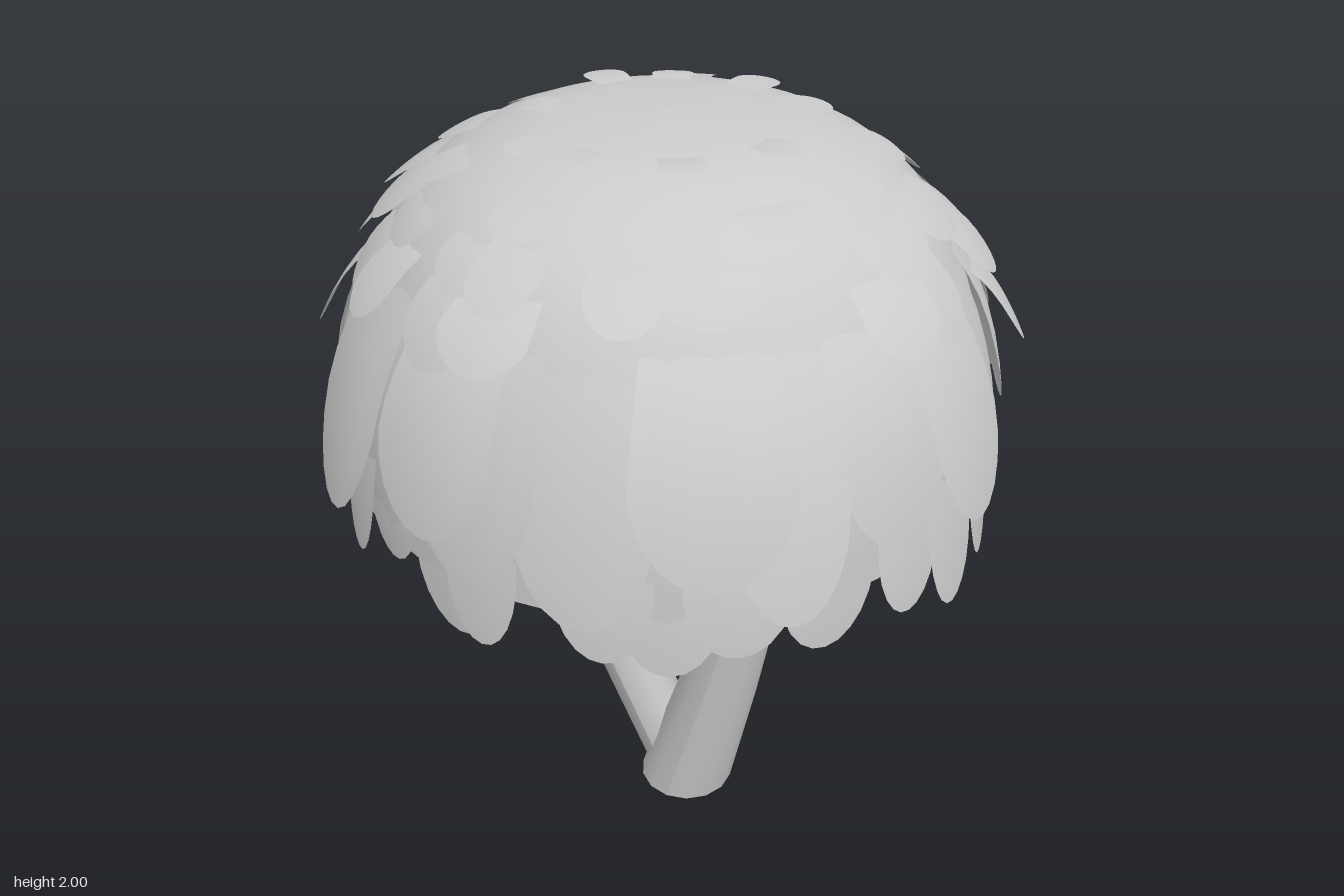
import * as THREE from 'three';
import { mergeGeometries } from 'three/addons/utils/BufferGeometryUtils.js';

// Small seeded generator, so the foliage is always the same
function seeded(seed) {
  return () => {
    seed = (seed * 16807) % 2147483647;
    return seed / 2147483647;
  };
}

// One rounded leaf hugging the crown: it follows a curve in (radius, height)
// at azimuth a, a = 0 facing the front
function leafGeometry(a, curve, halfWidth) {
  const geo = new THREE.PlaneGeometry(2, 1, 6, 9);
  const pos = geo.attributes.position;
  for (let i = 0; i < pos.count; i++) {
    const u = pos.getX(i);
    const v = Math.min(1, Math.max(0, 0.5 - pos.getY(i)));
    const t = Math.sin(v * Math.PI / 2); // rows gather at the rounded tip
    const tip = Math.max(0, (t - 0.6) / 0.4);
    const w = halfWidth * (0.75 + 0.25 * Math.min(1, t / 0.6)) * Math.sqrt(Math.max(0, 1 - tip * tip));
    const p = curve.getPoint(t);
    const angle = a + u * w / p.x;
    pos.setXYZ(i, p.x * Math.sin(angle), p.y, p.x * Math.cos(angle));
  }
  geo.computeVertexNormals();
  return geo;
}

// A ring of leaves running from (r0, y0) over (rm, ym) to (r1, y1)
function leafRing(name, material, o) {
  const rand = seeded(o.seed);
  const jitter = (s) => (rand() - 0.5) * 2 * s;
  const leaves = [];
  for (let i = 0; i < o.count; i++) {
    const a = ((i + jitter(0.3)) / o.count) * Math.PI * 2;
    const dr = jitter(o.dr), dy = jitter(o.dy), hw = o.hw * (1 + jitter(0.18));
    if (o.bare && Math.cos(a - o.bare[0]) > o.bare[1]) continue;
    const curve = new THREE.QuadraticBezierCurve(
      new THREE.Vector2(o.from[0], o.from[1]),
      new THREE.Vector2(o.mid[0] + dr / 2, o.mid[1] + dy / 2),
      new THREE.Vector2(o.to[0] + dr, o.to[1] + dy));
    leaves.push(leafGeometry(a, curve, hw));
  }
  const mesh = new THREE.Mesh(mergeGeometries(leaves), material);
  mesh.name = name;
  return mesh;
}

// Bent, tapering stem through rings of [x, y, z, radius]
function stem(name, material, rings) {
  const n = rings.length - 1;
  const geo = new THREE.CylinderGeometry(1, 1, 1, 14, n);
  const pos = geo.attributes.position;
  for (let i = 0; i < pos.count; i++) {
    const [x, y, z, r] = rings[Math.round((pos.getY(i) + 0.5) * n)];
    pos.setXYZ(i, x + pos.getX(i) * r, y, z + pos.getZ(i) * r);
  }
  geo.computeVertexNormals();
  const mesh = new THREE.Mesh(geo, material);
  mesh.name = name;
  return mesh;
}

export function createModel() {
  const group = new THREE.Group();
  group.name = 'tree';
  const bark = new THREE.MeshStandardMaterial({ color: 0xcccccc });
  const foliage = new THREE.MeshStandardMaterial({ color: 0xcccccc, side: THREE.DoubleSide });

  // Forked trunk
  group.add(
    stem('leftTrunk', bark, [
      [0.03, 0, -0.07, 0.13], [0.145, 0.4, -0.02, 0.108],
      [0.26, 0.82, 0.035, 0.082], [0.335, 1.32, 0.075, 0.075]]),
    stem('rightTrunk', bark, [
      [-0.01, 0, -0.1, 0.085], [-0.09, 0.28, -0.055, 0.09],
      [-0.25, 0.7, -0.01, 0.085], [-0.325, 1.08, 0.04, 0.08], [-0.36, 1.3, 0.06, 0.075]]));

  // Hollow crown, open below
  const profile = new THREE.SplineCurve([
    [0.755, 1.18], [0.75, 1.35], [0.715, 1.55], [0.64, 1.73], [0.55, 1.85],
    [0.43, 1.93], [0.28, 1.98], [0.12, 1.995], [0.001, 2],
  ].map(([x, y]) => new THREE.Vector2(x, y)));
  const crown = new THREE.Mesh(new THREE.LatheGeometry(profile.getPoints(28), 40), foliage);
  crown.name = 'crown';
  group.add(crown);

  // Leaf rings from the hanging fringe up to the small leaves on top;
  // bare = [azimuth, cosine] leaves a sector empty
  const rings = {
    innerFringe: { seed: 11, count: 26, hw: 0.11, dr: 0.04, dy: 0.06,
      from: [0.7, 1.5], mid: [0.77, 1.3], to: [0.775, 1.07] },
    outerSkirt: { seed: 23, count: 22, hw: 0.15, dr: 0.025, dy: 0.08,
      from: [0.63, 1.74], mid: [0.78, 1.56], to: [0.82, 1.24] },
    sideLeaves: { seed: 37, count: 22, hw: 0.09, dr: 0.02, dy: 0.06,
      from: [0.69, 1.66], mid: [0.76, 1.6], to: [0.82, 1.45], bare: [0.5, 0.25] },
    lowerLeaves: { seed: 41, count: 20, hw: 0.1, dr: 0.03, dy: 0.03,
      from: [0.57, 1.81], mid: [0.67, 1.76], to: [0.74, 1.65], bare: [0.6, 0.85] },
    middleLeaves: { seed: 59, count: 18, hw: 0.1, dr: 0.03, dy: 0.02,
      from: [0.47, 1.89], mid: [0.57, 1.86], to: [0.645, 1.77] },
    upperLeaves: { seed: 67, count: 13, hw: 0.08, dr: 0.03, dy: 0.015,
      from: [0.37, 1.94], mid: [0.46, 1.93], to: [0.53, 1.88] },
    topLeaves: { seed: 83, count: 9, hw: 0.055, dr: 0.03, dy: 0.005,
      from: [0.22, 1.98], mid: [0.3, 1.99], to: [0.36, 1.975] },
  };
  const leaves = new THREE.Group();
  leaves.name = 'leaves';
  for (const [name, options] of Object.entries(rings)) leaves.add(leafRing(name, foliage, options));
  group.add(leaves);
  return group;
}
